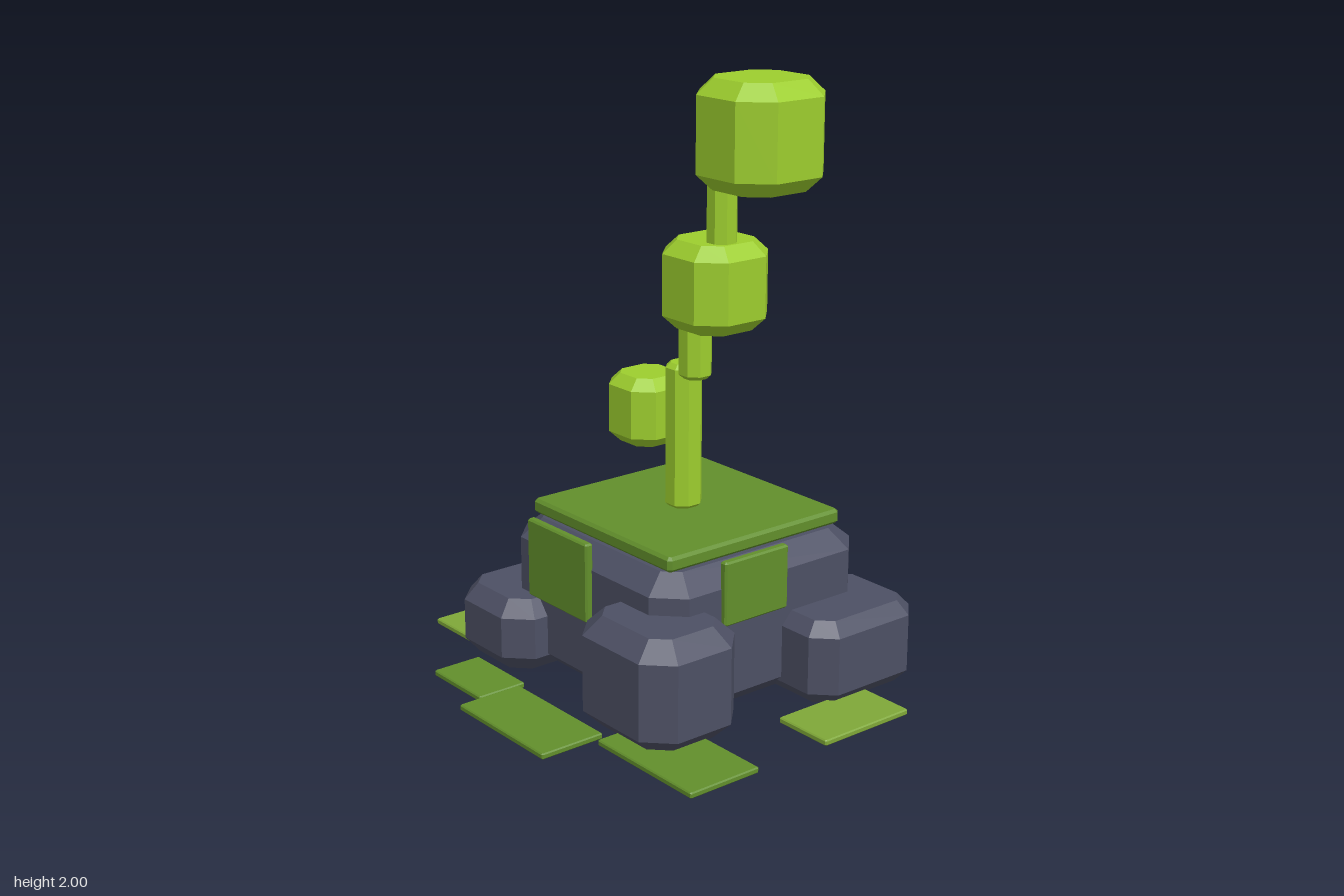
import * as THREE from 'three';

const mat = (name, color) => {
  const m = new THREE.MeshStandardMaterial({ color, flatShading: true });
  m.name = name;
  return m;
};

// Corners of a rectangle with its corners cut, running from +x towards +z
function octagon(hw, hd, c) {
  return [
    [hw, c - hd], [hw, hd - c], [hw - c, hd], [c - hw, hd],
    [-hw, hd - c], [-hw, c - hd], [c - hw, -hd], [hw - c, -hd],
  ];
}

// Block with cut corners and bevelled top and bottom edges.
// bx: bevel inset, by: bevel height
function blockGeometry(w, h, d, cut, bx, by) {
  const innerCut = Math.max(cut - bx * 0.586, 0.001);
  const inner = octagon(w / 2 - bx, d / 2 - bx, innerCut);
  const outer = octagon(w / 2, d / 2, cut);
  const rings = [[inner, -h / 2], [outer, -h / 2 + by], [outer, h / 2 - by], [inner, h / 2]]
    .map(([ring, y]) => ring.map(([x, z]) => [x, y, z]));
  const pos = [];
  const tri = (a, b, c) => pos.push(...a, ...b, ...c);
  for (let i = 0; i < 8; i++) {
    const j = (i + 1) % 8;
    for (let r = 0; r < 3; r++) {
      const lo = rings[r], up = rings[r + 1];
      tri(lo[i], up[i], up[j]);
      tri(lo[i], up[j], lo[j]);
    }
    tri([0, h / 2, 0], rings[3][j], rings[3][i]);
    tri([0, -h / 2, 0], rings[0][i], rings[0][j]);
  }
  const g = new THREE.BufferGeometry();
  g.setAttribute('position', new THREE.Float32BufferAttribute(pos, 3));
  g.computeVertexNormals();
  return g;
}

export function createModel() {
  const model = new THREE.Group();
  model.name = 'rockPlant';
  const rock = mat('slate rock', 0x4d5064);
  const moss = mat('dark moss', 0x628f2c);
  const paleMoss = mat('pale moss', 0x7fa838);
  const lime = mat('lime plant', 0x9dce2e);

  // Each block is given by its extents on x, y and z
  const add = (name, material, [x0, x1], [y0, y1], [z0, z1], cut, bx, by = bx) => {
    const mesh = new THREE.Mesh(blockGeometry(x1 - x0, y1 - y0, z1 - z0, cut, bx, by), material);
    mesh.position.set((x0 + x1) / 2, (y0 + y1) / 2, (z0 + z1) / 2);
    mesh.name = name;
    model.add(mesh);
  };

  // Rocks: one large block with a boulder at each corner
  add('mainRock', rock, [-0.44, 0.42], [0.005, 0.5], [-0.585, 0.275], 0.09, 0.07, 0.062);
  add('frontLeftBoulder', rock, [0.13, 0.58], [0.005, 0.38], [0.065, 0.447], 0.085, 0.06);
  add('frontRightBoulder', rock, [-0.58, -0.205], [0.005, 0.255], [0.045, 0.407], 0.08, 0.045, 0.055);
  add('backRightBoulder', rock, [-0.622, -0.21], [0.005, 0.365], [-0.675, -0.27], 0.09, 0.06);
  add('backLeftBoulder', rock, [0.235, 0.615], [0.005, 0.29], [-0.655, -0.205], 0.07, 0.04, 0.045);

  // Moss on the rock: top slab and two hanging sheets
  add('mossSlab', moss, [-0.372, 0.35], [0.505, 0.555], [-0.52, 0.208], 0.012, 0.01);
  add('frontMossSheet', moss, [-0.28, 0.04], [0.26, 0.53], [0.268, 0.298], 0.006, 0.006);
  add('sideMossSheet', moss, [0.41, 0.44], [0.315, 0.53], [-0.21, 0.055], 0.006, 0.006);

  // Moss patches on the ground
  const patches = [
    [paleMoss, [0.565, 0.78], [-0.425, -0.065]],
    [paleMoss, [-0.78, -0.515], [-0.11, 0.342]],
    [moss, [-0.418, -0.15], [0.41, 0.588]],
    [moss, [-0.146, 0.305], [0.437, 0.67]],
    [moss, [0.33, 0.78], [0.21, 0.478]],
  ];
  for (const [m, x, z] of patches) add('groundMoss', m, x, [0, 0.02], z, 0.005, 0.004);

  // Plant: stepped stem segments carrying buds
  add('lowerStem', lime, [-0.068, 0.045], [0.55, 1.047], [-0.205, -0.09], 0.032, 0.016);
  add('middleStem', lime, [-0.008, 0.096], [1.005, 1.22], [-0.2, -0.097], 0.03, 0.014);
  add('upperStem', lime, [0.123, 0.216], [1.45, 1.7], [-0.195, -0.102], 0.027, 0.013);
  add('smallBud', lime, [-0.275, -0.042], [0.752, 0.986], [-0.231, 0.003], 0.058, 0.036);
  add('middleBud', lime, [-0.038, 0.27], [1.187, 1.476], [-0.322, -0.015], 0.076, 0.044);
  add('topBud', lime, [0.1, 0.46], [1.655, 2.0], [-0.388, -0.022], 0.09, 0.05);
  return model;
}
